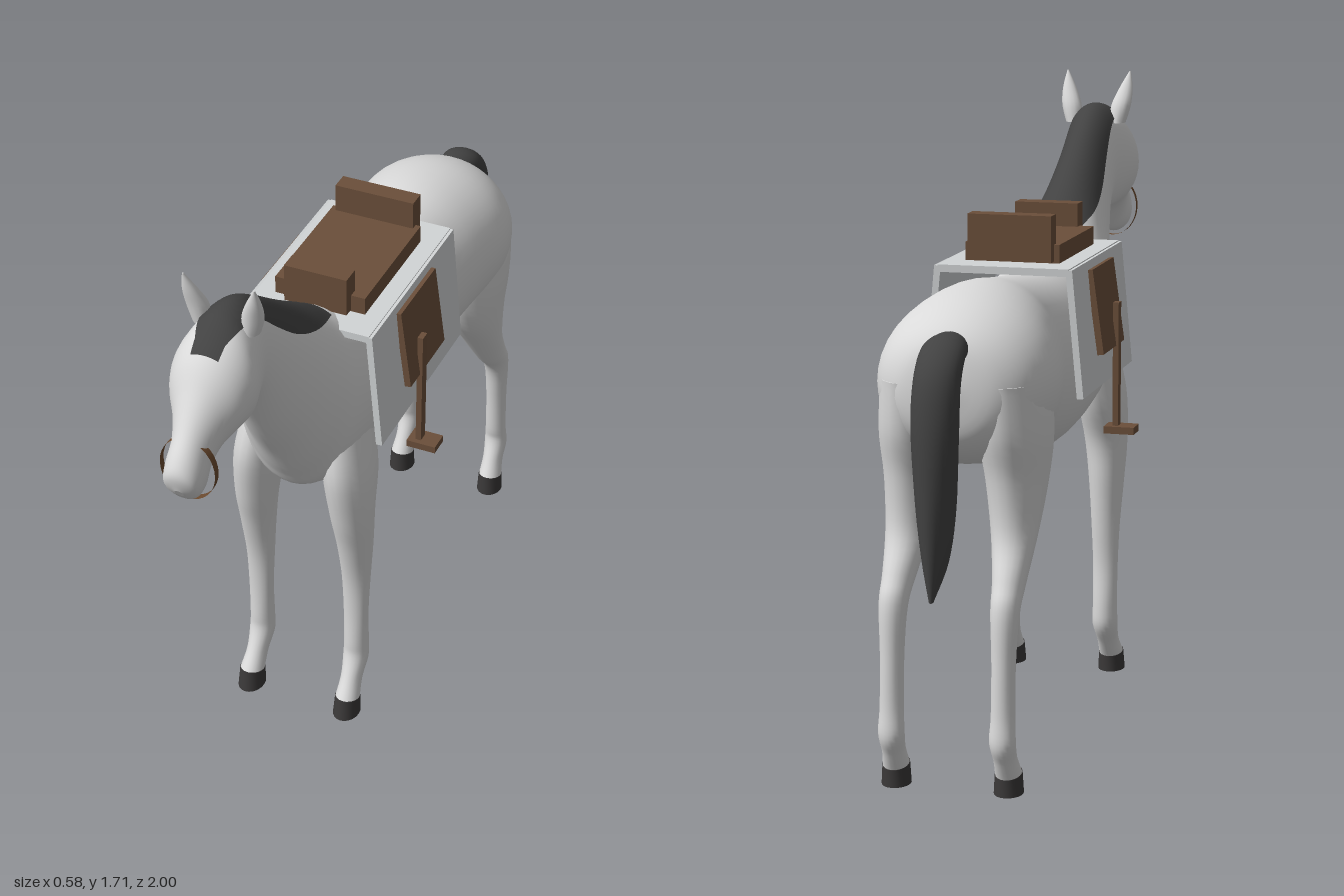
import * as THREE from 'three';

const mat = (name, color, side = THREE.FrontSide) =>
  Object.assign(new THREE.MeshStandardMaterial({ color, side }), { name });

// Smooth interpolation of a section list at position u (in section units)
function sectionAt(list, u) {
  const i = Math.min(Math.floor(u), list.length - 2), t = u - i;
  const at = (k) => list[Math.max(0, Math.min(list.length - 1, k))];
  const [a, b, c, d] = [at(i - 1), at(i), at(i + 1), at(i + 2)];
  return b.map((_, k) => 0.5 * (2 * b[k] + (c[k] - a[k]) * t
    + (2 * a[k] - 5 * b[k] + 4 * c[k] - d[k]) * t * t
    + (3 * b[k] - a[k] - 3 * c[k] + d[k]) * t * t * t));
}

// Loft of ellipses. A section is [z1, y1, z2, y2, halfWidth, xCentre]: the two
// points are opposite ends of the ellipse in the side plane.
// With halfAngle(t) only a strip round the first end is made.
function loft(list, { from = 0, to = list.length - 1, steps = 5, sides = 28, grow = 0, halfAngle } = {}) {
  const pos = [], idx = [], rows = Math.round((to - from) * steps);
  const cols = halfAngle ? sides + 1 : sides;
  for (let r = 0; r <= rows; r++) {
    const s = sectionAt(list, from + ((to - from) * r) / rows);
    const cz = (s[0] + s[2]) / 2, cy = (s[1] + s[3]) / 2;
    const hz = (s[0] - s[2]) / 2, hy = (s[1] - s[3]) / 2;
    const k = 1 + grow / Math.hypot(hz, hy);
    for (let c = 0; c < cols; c++) {
      const a = halfAngle ? halfAngle(r / rows) * ((2 * c) / sides - 1) : (2 * Math.PI * c) / sides;
      pos.push(s[5] + (s[4] + grow) * Math.sin(a), cy + hy * k * Math.cos(a), cz + hz * k * Math.cos(a));
    }
  }
  for (let r = 0; r < rows; r++) {
    for (let c = 0; c < sides; c++) {
      const d = (c + 1) % cols, p = r * cols, q = p + cols;
      idx.push(p + c, q + c, q + d, p + c, q + d, p + d);
    }
  }
  // Flat caps with their own corners
  if (!halfAngle) {
    for (const [row, flip] of [[0, false], [rows, true]]) {
      const base = pos.length / 3, ring = pos.slice(row * cols * 3, (row + 1) * cols * 3);
      const mid = [0, 1, 2].map((k) => ring.reduce((sum, v, n) => sum + (n % 3 === k ? v : 0), 0) / cols);
      pos.push(...ring, ...mid);
      for (let c = 0; c < cols; c++) {
        const d = (c + 1) % cols;
        idx.push(base + cols, base + (flip ? d : c), base + (flip ? c : d));
      }
    }
  }
  const g = new THREE.BufferGeometry();
  g.setAttribute('position', new THREE.Float32BufferAttribute(pos, 3));
  g.setIndex(idx);
  g.computeVertexNormals();
  return g;
}

// Rump to muzzle, with top line first and underline second
const BODY = [
  [-0.848, 1.08, -0.852, 1.0, 0.04], [-0.825, 1.16, -0.835, 0.91, 0.13],
  [-0.76, 1.215, -0.77, 0.85, 0.2], [-0.65, 1.255, -0.65, 0.815, 0.233],
  [-0.5, 1.27, -0.5, 0.8, 0.215], [-0.33, 1.25, -0.33, 0.765, 0.182],
  [-0.1, 1.23, -0.1, 0.735, 0.187], [0.08, 1.25, 0.12, 0.755, 0.188],
  [0.2, 1.3, 0.32, 0.795, 0.18], [0.28, 1.355, 0.385, 0.87, 0.15],
  [0.36, 1.41, 0.45, 0.98, 0.118], [0.45, 1.475, 0.52, 1.09, 0.095],
  [0.55, 1.55, 0.585, 1.205, 0.08], [0.64, 1.605, 0.64, 1.285, 0.08],
  [0.72, 1.61, 0.7, 1.295, 0.098], [0.78, 1.58, 0.76, 1.3, 0.113],
  [0.835, 1.535, 0.81, 1.3, 0.1], [0.885, 1.465, 0.85, 1.28, 0.07],
  [0.935, 1.395, 0.88, 1.245, 0.053], [0.98, 1.34, 0.91, 1.21, 0.053],
  [0.998, 1.3, 0.95, 1.205, 0.044], [0.99, 1.255, 0.975, 1.23, 0.012],
].map((s) => [...s, 0]);

// Legs from top to pastern, front edge first
const FRONT_LEG = [
  [0.33, 0.98, 0.12, 0.98, 0.06, 0.115], [0.355, 0.85, 0.14, 0.82, 0.068, 0.132],
  [0.335, 0.7, 0.182, 0.7, 0.06, 0.143], [0.305, 0.58, 0.192, 0.58, 0.05, 0.147],
  [0.278, 0.45, 0.203, 0.45, 0.041, 0.147], [0.27, 0.33, 0.21, 0.33, 0.036, 0.147],
  [0.273, 0.22, 0.2, 0.21, 0.035, 0.147], [0.277, 0.17, 0.203, 0.145, 0.036, 0.147],
  [0.307, 0.11, 0.237, 0.09, 0.03, 0.148], [0.345, 0.06, 0.265, 0.045, 0.034, 0.15],
];
const HIND_LEG = [
  [-0.5, 1.05, -0.83, 1.05, 0.09, 0.125], [-0.51, 0.9, -0.82, 0.92, 0.093, 0.13],
  [-0.55, 0.78, -0.79, 0.8, 0.078, 0.135], [-0.64, 0.66, -0.785, 0.66, 0.06, 0.14],
  [-0.73, 0.54, -0.835, 0.56, 0.043, 0.145], [-0.79, 0.47, -0.87, 0.49, 0.037, 0.147],
  [-0.81, 0.36, -0.877, 0.35, 0.031, 0.147], [-0.82, 0.22, -0.882, 0.22, 0.031, 0.147],
  [-0.825, 0.17, -0.89, 0.14, 0.034, 0.147], [-0.8, 0.11, -0.87, 0.09, 0.03, 0.148],
  [-0.77, 0.06, -0.85, 0.045, 0.034, 0.15],
];
const FRONT_HOOF = [[0.347, 0.062, 0.263, 0.046, 0.035, 0.15], [0.36, 0, 0.262, 0, 0.038, 0.15]];
const HIND_HOOF = [[-0.768, 0.062, -0.852, 0.046, 0.035, 0.15], [-0.762, 0, -0.855, 0, 0.038, 0.15]];

// Ear from base to tip, back edge first
const EAR = [
  [0.67, 1.56, 0.725, 1.56, 0.024, 0.066], [0.68, 1.61, 0.73, 1.61, 0.029, 0.075],
  [0.705, 1.66, 0.737, 1.66, 0.02, 0.086], [0.734, 1.71, 0.739, 1.71, 0.002, 0.095],
];

// Tail from dock to tip, inner edge first
const TAIL = [
  [-0.81, 1.1, -0.79, 1.185, 0.05], [-0.855, 1.1, -0.88, 1.177, 0.058],
  [-0.88, 1.04, -0.96, 1.105, 0.06], [-0.885, 0.93, -0.993, 0.98, 0.06],
  [-0.87, 0.75, -1.0, 0.8, 0.05], [-0.89, 0.62, -0.995, 0.65, 0.032],
  [-0.97, 0.54, -0.985, 0.535, 0.006],
].map((s) => [...s, 0]);

export function createModel() {
  const horse = new THREE.Group();
  horse.name = 'saddledHorse';
  const coat = mat('coat', 0xd9d9d9);
  const hair = mat('darkHair', 0x424242, THREE.DoubleSide);
  const horn = mat('hoofHorn', 0x3a3838);
  const cloth = mat('blanketCloth', 0xd2d5d6);
  const leather = mat('leather', 0x6b4f3a);
  const strap = mat('strapLeather', 0x6b4a2f, THREE.DoubleSide);

  const add = (name, geometry, material) => {
    const m = new THREE.Mesh(geometry, material);
    m.name = name;
    horse.add(m);
    return m;
  };
  // Box given by its limits
  const box = (name, material, x0, x1, y0, y1, z0, z1) =>
    add(name, new THREE.BoxGeometry(x1 - x0, y1 - y0, z1 - z0), material)
      .position.set((x0 + x1) / 2, (y0 + y1) / 2, (z0 + z1) / 2);
  // Slanting side panel hanging from (x0, y0) to (x1, y1)
  const panel = (name, material, side, x0, y0, x1, y1, z0, z1) => {
    const m = add(name, new THREE.BoxGeometry(0.018, Math.hypot(x1 - x0, y1 - y0), z1 - z0), material);
    m.position.set((side * (x0 + x1)) / 2, (y0 + y1) / 2, (z0 + z1) / 2);
    m.rotation.z = side * Math.atan2(x1 - x0, y0 - y1);
  };

  add('bodyNeckAndHead', loft(BODY, { sides: 40 }), coat);
  add('tail', loft(TAIL), hair);
  // Mane lies on the crest, ending in the forelock
  add('mane', loft(BODY, {
    from: 8.1, to: 15.8, sides: 16, grow: 0.005,
    halfAngle: (t) => 0.35 + 0.6 * Math.sin(Math.PI * Math.min(1, t * 1.08)) ** 1.2,
  }), hair);

  for (const side of [1, -1]) {
    const label = side > 0 ? 'left' : 'right';
    const placed = (list) => list.map((s) => [...s.slice(0, 5), side * s[5]]);
    add(label + 'FrontLeg', loft(placed(FRONT_LEG), { sides: 20 }), coat);
    add(label + 'HindLeg', loft(placed(HIND_LEG), { sides: 20 }), coat);
    add(label + 'FrontHoof', loft(placed(FRONT_HOOF), { sides: 20, steps: 1 }), horn);
    add(label + 'HindHoof', loft(placed(HIND_HOOF), { sides: 20, steps: 1 }), horn);
    add(label + 'Ear', loft(placed(EAR), { sides: 14 }), coat);
    // Tack on each side
    panel(label + 'BlanketFlap', cloth, side, 0.18, 1.272, 0.212, 0.93, -0.325, 0.24);
    panel(label + 'SaddleFlap', leather, side, 0.195, 1.25, 0.227, 1.02, -0.16, 0.08);
    const sx = (a, b) => (side > 0 ? [a, b] : [-b, -a]);
    box(label + 'StirrupStrap', leather, ...sx(0.226, 0.242), 0.79, 1.14, -0.015, 0.015);
    box(label + 'Stirrup', leather, ...sx(0.205, 0.29), 0.776, 0.796, -0.03, 0.03);
  }

  // Blanket top and saddle
  box('blanketTop', cloth, -0.18, 0.18, 1.255, 1.275, -0.325, 0.24);
  box('saddleSeat', leather, -0.13, 0.13, 1.275, 1.325, -0.23, 0.15);
  box('pommel', leather, -0.09, 0.09, 1.28, 1.39, 0.125, 0.18);
  box('cantle', leather, -0.115, 0.115, 1.28, 1.405, -0.262, -0.21);

  // Noseband: thin open hoop round the muzzle
  const band = add('noseband', new THREE.CylinderGeometry(1, 1, 0.02, 32, 1, true).rotateX(Math.PI / 2), strap);
  band.scale.set(0.075, 0.09, 1);
  band.position.set(0, 1.283, 0.925);
  return horse;
}
